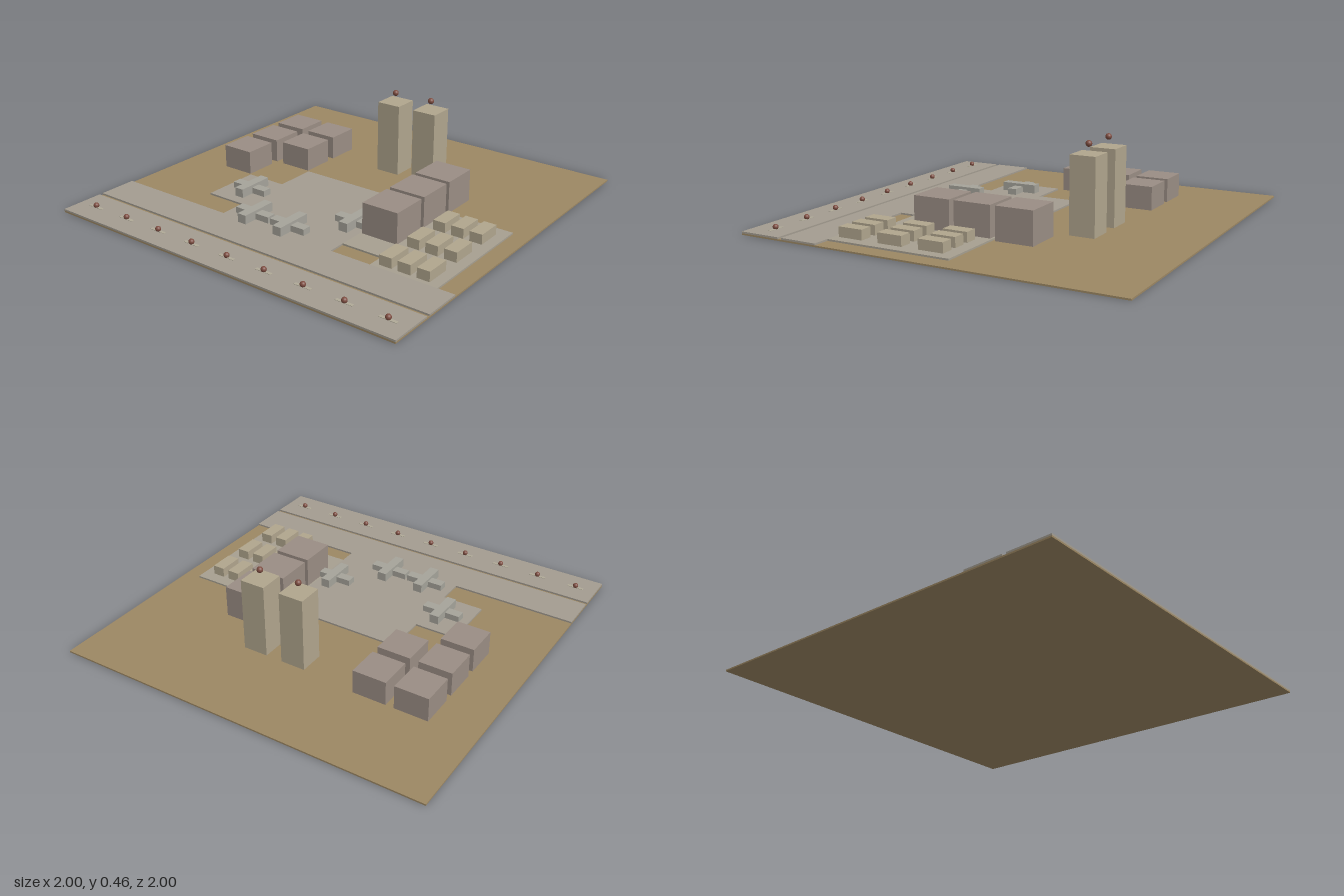
import * as THREE from 'three';

const mat = (color) => new THREE.MeshStandardMaterial({ color });
const SAND = mat(0x9c8763), PAVING = mat(0xa39c90), YARD = mat(0xa69f90), SHED = mat(0x9a8d84),
  CRATE = mat(0xb0a58d), TOWER = mat(0xb0a58d), METAL = mat(0xa5a39a), LAMP = mat(0x7d4c40), PAINT = mat(0xb0aa98);

// Box given by its extents on each axis
function block(name, m, x0, x1, y0, y1, z0, z1) {
  const mesh = new THREE.Mesh(new THREE.BoxGeometry(x1 - x0, y1 - y0, z1 - z0), m);
  mesh.position.set((x0 + x1) / 2, (y0 + y1) / 2, (z0 + z1) / 2);
  mesh.name = name;
  return mesh;
}

// Box standing at a centre point
const stand = (name, m, x, z, w, d, y0, y1) =>
  block(name, m, x - w / 2, x + w / 2, y0, y1, z - d / 2, z + d / 2);

function ball(name, r, x, y, z) {
  const mesh = new THREE.Mesh(new THREE.SphereGeometry(r, 16, 12), LAMP);
  mesh.position.set(x, y, z);
  mesh.name = name;
  return mesh;
}

// Parked aircraft: fuselage along z crossed by a lower wing
function aircraft(x, z) {
  const g = new THREE.Group();
  g.name = 'aircraft';
  g.add(stand('fuselage', METAL, x, z, 0.05, 0.197, 0.016, 0.063));
  g.add(stand('wing', METAL, x, z + 0.001, 0.208, 0.05, 0.016, 0.049));
  return g;
}

export function createModel() {
  const model = new THREE.Group();
  model.name = 'airfield';
  const G = 0.008, P = 0.017;

  // Ground and paved strips
  model.add(block('ground', SAND, -1, 1, 0, G, -1, 1));
  model.add(block('runway', PAVING, -1, 1, G, P, 0.776, 1));
  model.add(block('taxiway', PAVING, -1, 1, G, P, 0.556, 0.756));

  // Apron with its side bay, and the storage yard around a sand notch
  model.add(block('apron', PAVING, -0.335, 0.335, G, P, -0.111, 0.556));
  model.add(block('apronBay', PAVING, -0.556, -0.335, G, P, 0.111, 0.419));
  model.add(block('yardInner', YARD, 0.335, 0.556, G, P, -0.111, 0.464));
  model.add(block('yardOuter', YARD, 0.556, 0.911, G, P, -0.111, 0.556));

  // Runway lamps on painted dashes
  for (let i = -4; i <= 4; i++) {
    const x = i * 0.2222;
    model.add(stand('runwayDash', PAINT, x, 0.889, 0.09, 0.016, P, P + 0.002));
    model.add(ball('runwayLamp', 0.014, x, 0.028, 0.889));
  }

  // Aircraft
  for (const [x, z] of [[-0.406, 0.266], [0.26, 0.266], [-0.185, 0.488], [0.037, 0.488]])
    model.add(aircraft(x, z));

  // Small sheds at the back left
  for (const [x, z] of [[-0.667, -0.445], [-0.667, -0.222], [-0.667, 0], [-0.445, -0.445], [-0.445, -0.222]])
    model.add(stand('shed', SHED, x, z, 0.178, 0.178, G, 0.133));

  // Row of large hangars
  for (const z of [-0.225, 0, 0.225])
    model.add(stand('hangar', SHED, 0.444, z, 0.199, 0.199, G, 0.177));

  // Storage containers
  for (const x of [0.623, 0.723, 0.823])
    for (const z of [0.021, 0.244, 0.466])
      model.add(stand('container', CRATE, x, z, 0.067, 0.133, P, 0.068));

  // Twin towers with beacons floating above
  for (const x of [0, 0.222]) {
    model.add(stand('tower', TOWER, x, -0.445, 0.133, 0.133, G, 0.396));
    model.add(ball('beacon', 0.016, x, 0.443, -0.445));
  }
  return model;
}
